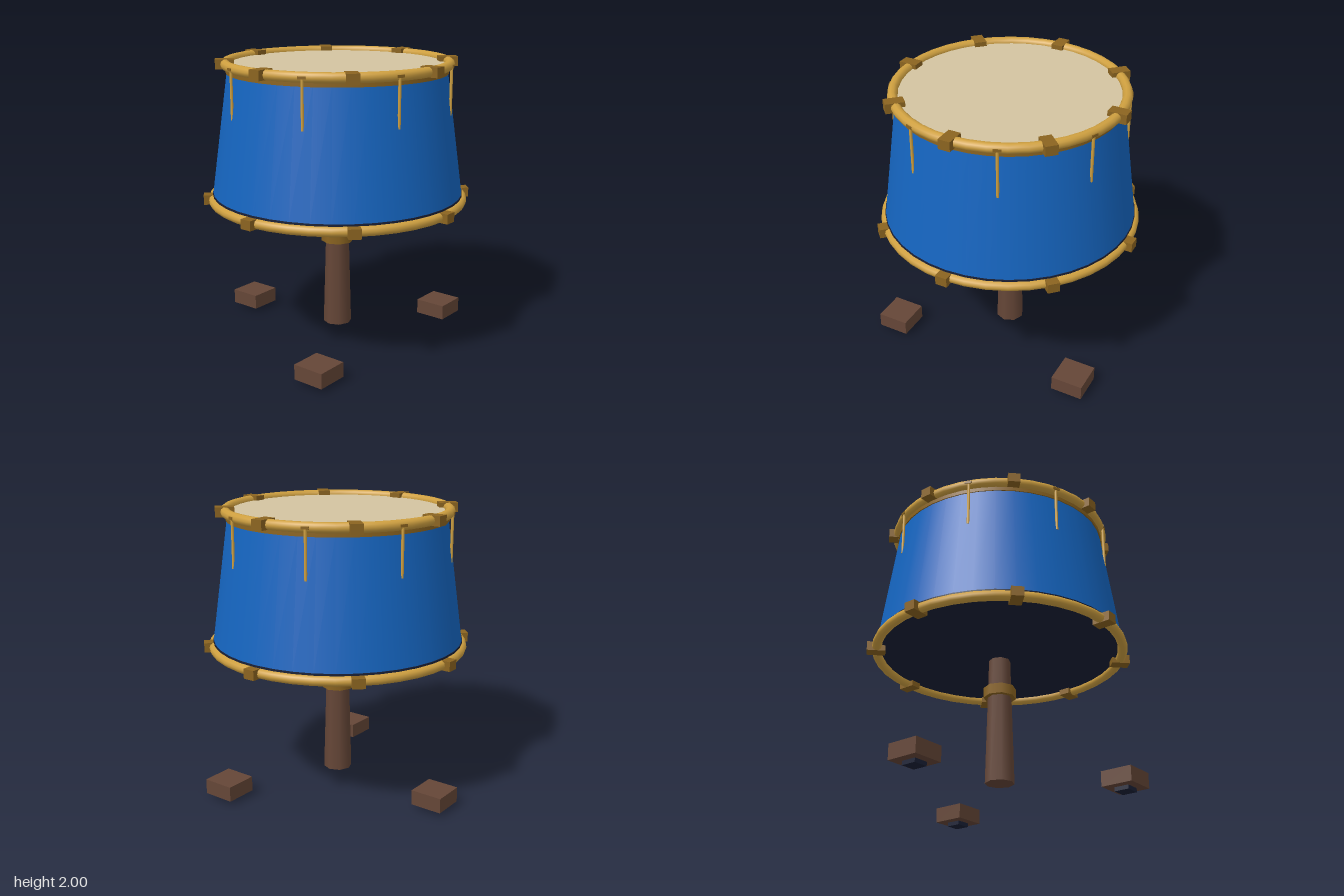
import * as THREE from 'three';

const material = (name, color, side = THREE.FrontSide) => {
  const m = new THREE.MeshStandardMaterial({ color, side });
  m.name = name;
  return m;
};

export function createModel() {
  const blue = material('blue shell', 0x1565c0, THREE.DoubleSide);
  const gold = material('gold', 0xcfa040);
  const bronze = material('bronze', 0x8b6420);
  const skin = material('drum skin', 0xd4c4a0);
  const wood = material('brown wood', 0x654637);
  const navy = material('dark navy', 0x1a2036);

  const root = new THREE.Group();
  const drum = new THREE.Group();
  drum.name = 'drum';
  drum.position.z = 0.008;
  root.add(drum);

  const add = (name, geometry, mat, x = 0, y = 0, z = 0, parent = drum) => {
    const mesh = new THREE.Mesh(geometry, mat);
    mesh.name = name;
    mesh.position.set(x, y, z);
    parent.add(mesh);
    return mesh;
  };
  // Repeats a part eight times around the drum axis, each copy facing outwards
  const ring = (name, geometry, mat, radius, y, offset = 0) => {
    for (let i = 0; i < 8; i++) {
      const a = (i + offset) * Math.PI / 4;
      add(name, geometry, mat, radius * Math.sin(a), y, radius * Math.cos(a)).rotation.y = a;
    }
  };
  const cylinder = (top, bottom, y0, y1, sides, open = false) =>
    new THREE.CylinderGeometry(top, bottom, y1 - y0, sides, 1, open).translate(0, (y0 + y1) / 2, 0);

  // Tapered body with its bottom plate, upper band and playing skin
  add('shell', cylinder(0.745, 0.865, 1.075, 1.93, 40, true), blue);
  add('bottomPlate', cylinder(0.868, 0.868, 1.045, 1.083, 40), navy);
  add('upperBand', cylinder(0.755, 0.755, 1.907, 1.95, 40), bronze);
  add('skin', cylinder(0.745, 0.745, 1.94, 1.967, 40), skin);

  // Hoops and the lugs that clamp them
  const hoops = [['upper', 0.757, 1.966], ['lower', 0.865, 1.037]];
  const lug = new THREE.BoxGeometry(0.082, 0.066, 0.128);
  for (const [name, radius, y] of hoops) {
    add(name + 'Hoop', new THREE.TorusGeometry(radius, 0.034, 10, 40).rotateX(Math.PI / 2), gold, 0, y);
    ring(name + 'Lug', lug, bronze, radius + 0.002, y);
  }

  // Tension rods between the lugs, sinking into the shell at their lower end
  ring('tensionRod', cylinder(0.01, 0.01, 1.64, 1.96, 8), gold, 0.778, 0, 0.5);
  ring('rodHook', new THREE.BoxGeometry(0.05, 0.018, 0.03), bronze, 0.777, 1.966, 0.5);

  // Stand post with collar
  add('post', cylinder(0.075, 0.1, 0.09, 0.985, 8), wood);
  add('postCollar', cylinder(0.113, 0.113, 0.703, 0.775, 8), bronze);

  // Three wooden feet on dark pads, one at the back and two in front
  for (let i = 0; i < 3; i++) {
    const a = Math.PI + i * Math.PI * 2 / 3;
    const foot = new THREE.Group();
    foot.name = 'foot';
    foot.position.set(0.825 * Math.sin(a), 0, 0.825 * Math.cos(a));
    drum.add(foot);
    add('footBlock', new THREE.BoxGeometry(0.225, 0.105, 0.225), wood, 0, 0.08, 0, foot);
    add('footPad', new THREE.BoxGeometry(0.105, 0.04, 0.105), navy, 0, 0.02, 0, foot);
  }
  return root;
}
